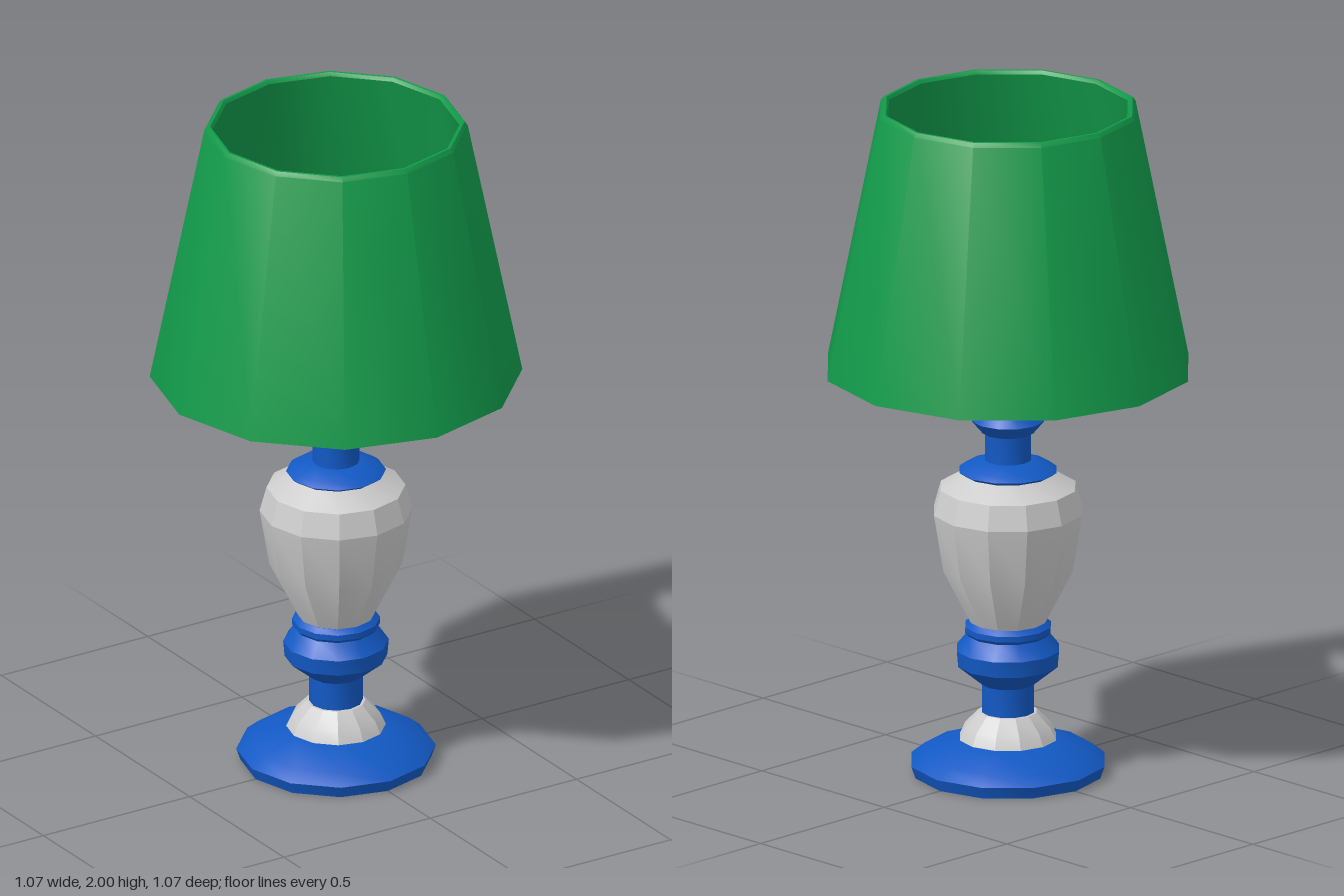
import * as THREE from 'three';
import { toCreasedNormals } from 'three/addons/utils/BufferGeometryUtils.js';

const SIDES = 12;
const grey = new THREE.MeshStandardMaterial({ color: 0xcccccc });
const blue = new THREE.MeshStandardMaterial({ color: 0x1259c4 });
const green = new THREE.MeshStandardMaterial({ color: 0x129a4a });

// Twelve-sided turned part from [radius, height] pairs, listed bottom to top
function turned(name, material, profile, crease = 0.6) {
  const points = profile.map(([r, y]) => new THREE.Vector2(r, y));
  const geometry = toCreasedNormals(new THREE.LatheGeometry(points, SIDES), crease);
  const mesh = new THREE.Mesh(geometry, material);
  mesh.name = name;
  return mesh;
}

export function createModel() {
  const lamp = new THREE.Group();
  lamp.name = 'tableLamp';

  // Foot
  lamp.add(turned('base', blue, [
    [0, 0], [0.275, 0], [0.287, 0.035], [0.25, 0.065], [0.14, 0.105], [0, 0.105],
  ]));
  lamp.add(turned('footCollar', grey, [
    [0.145, 0.1], [0.127, 0.14], [0.085, 0.183], [0, 0.183],
  ], 0.35));

  // Lower stem with its rounded knob and band
  lamp.add(turned('lowerStem', blue, [[0.077, 0.17], [0.077, 0.27]]));
  lamp.add(turned('knob', blue, [
    [0, 0.265], [0.075, 0.265], [0.148, 0.325], [0.152, 0.372], [0.118, 0.415], [0, 0.415],
  ]));
  lamp.add(turned('knobBand', blue, [
    [0.115, 0.412], [0.127, 0.425], [0.127, 0.442], [0.112, 0.455], [0, 0.455],
  ]));

  // Faceted vase body
  lamp.add(turned('vase', grey, [
    [0.108, 0.45], [0.192, 0.615], [0.22, 0.785], [0.2, 0.858], [0.13, 0.9], [0, 0.9],
  ], 0.35));

  // Neck
  lamp.add(turned('vaseCap', blue, [
    [0.13, 0.898], [0.144, 0.908], [0.125, 0.922], [0.075, 0.94], [0, 0.94],
  ]));
  lamp.add(turned('neck', blue, [[0.068, 0.93], [0.068, 1.03]]));
  lamp.add(turned('neckRing', blue, [
    [0, 1.022], [0.075, 1.022], [0.107, 1.06], [0.078, 1.095], [0, 1.095],
  ]));

  // Socket and bulb
  lamp.add(turned('socket', blue, [
    [0, 1.09], [0.086, 1.09], [0.094, 1.1], [0.094, 1.335], [0.088, 1.342], [0, 1.342],
  ]));
  const bulb = new THREE.Mesh(new THREE.SphereGeometry(0.086, SIDES, 10), grey);
  bulb.name = 'bulb';
  bulb.position.y = 1.415;
  lamp.add(bulb);

  // Open shade with a thin wall: outside, top rim, inside, bottom edge
  lamp.add(turned('shade', green, [
    [0.536, 1.215], [0.379, 1.988], [0.37, 2], [0.362, 2], [0.355, 1.99], [0.528, 1.215], [0.536, 1.215],
  ]));

  return lamp;
}
